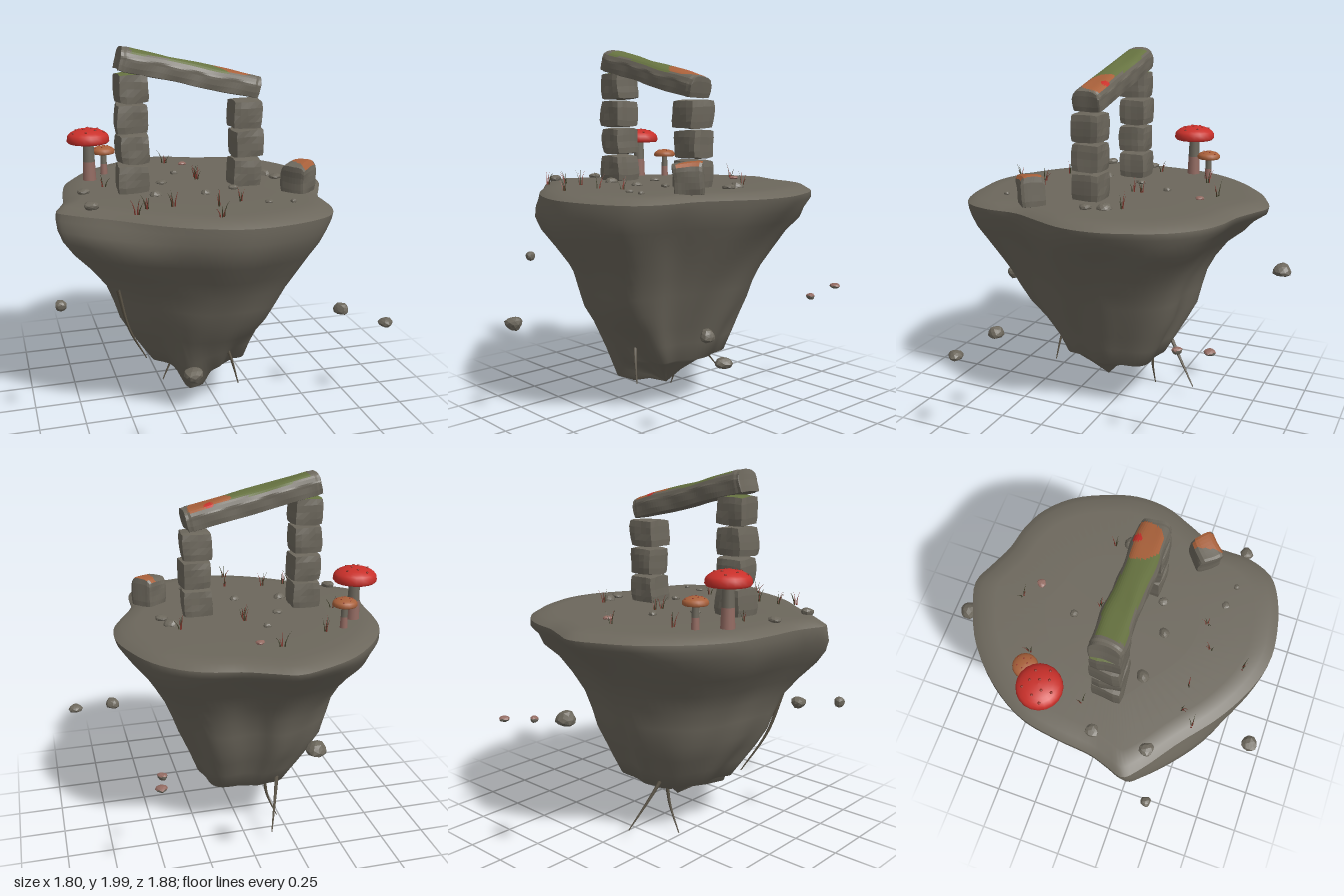
import * as THREE from 'three';

const mat = (name, color, side = THREE.FrontSide) => {
  const m = new THREE.MeshStandardMaterial({ color, side });
  m.name = name;
  return m;
};

// Small seeded random generator
const seeded = (s) => () => {
  s = (s * 16807) % 2147483647;
  return s / 2147483647;
};

const wave = (x, y, z, s) =>
  Math.sin(x * 31 + s) * Math.cos(y * 27 + s * 2.3) + Math.sin(z * 33 + x * 14 + s * 1.7);

const bump = (a, centre, width) => Math.exp(-(((a - centre) / width) ** 2));
const ramp = (v) => THREE.MathUtils.clamp(v, 0, 1);

// Rim of the island as x, z points seen from above
const RIM = [[-.12, -.81], [0, -.765], [.13, -.71], [.27, -.68], [.4, -.62], [.53, -.49], [.62, -.3], [.66, -.15],
  [.65, .03], [.58, .2], [.51, .36], [.5, .55], [.44, .69], [.33, .76], [.15, .81], [-.02, .82],
  [-.2, .77], [-.4, .66], [-.6, .5], [-.79, .36], [-.855, .29], [-.83, .2], [-.8, .1], [-.78, -.1], [-.74, -.3],
  [-.63, -.49], [-.45, -.67], [-.28, -.76]];

// Skin horizontal sections: [y, xMin, xMax, zMin, zMax]
function islandSkin(sections) {
  const n = 96;
  const curve = new THREE.CatmullRomCurve3(RIM.map(([x, z]) => new THREE.Vector3(x, 0, z)), true);
  const rim = curve.getPoints(n).slice(0, n);
  const pos = [], idx = [];
  sections.forEach(([y, x0, x1, z0, z1], r) => {
    rim.forEach((p) => {
      const u = (p.x + .095) / .755, v = (p.z - .005) / .815;
      const a = Math.atan2(v, u);
      const deep = ramp((1.15 - y) / .8), below = ramp((1.21 - y) / .15);
      // broad shoulders on the diagonals, valleys between the hanging lobes, fine ridges growing with depth
      const shoulder = below * (.09 * bump(a, -.8, .4) + .05 * bump(a, -2.3, .4) + .09 * bump(a, 2.4, .35) * ramp((y - .7) / .25));
      const valley = .2 * bump(a, 1.1, .3) * ramp((.62 - y) / .3) + .08 * bump(a, -1.5, .22) * deep;
      const ridge = 1 + shoulder - valley + deep * .03 * Math.sin(9 * a + y * 7);
      const low = ramp((.5 - y) / .2) * (y > .25 ? 1 : .4);
      const drop = y > .13 ? low * .13 * bump(a, 2, .33) : 0;
      pos.push((x0 + x1) / 2 + u * ridge * (x1 - x0) / 2, y - drop, (z0 + z1) / 2 + v * ridge * (z1 - z0) / 2);
    });
    if (r === 0) return;
    for (let j = 0; j < n; j++) {
      const a = (r - 1) * n + j, b = (r - 1) * n + (j + 1) % n;
      idx.push(a, b, a + n, b, b + n, a + n);
    }
  });
  const g = new THREE.BufferGeometry();
  g.setAttribute('position', new THREE.Float32BufferAttribute(pos, 3));
  g.setIndex(idx);
  g.computeVertexNormals();
  return g;
}

// Box with worn edges, faceted
function wornBox(w, h, d, seed, segs = [4, 4, 4], crown = 0) {
  const g = new THREE.BoxGeometry(w, h, d, ...segs);
  const p = g.attributes.position;
  for (let i = 0; i < p.count; i++) {
    const x = p.getX(i), y = p.getY(i), z = p.getZ(i);
    const n = [x / w * 2, y / h * 2, z / d * 2];
    const edges = n.filter((c) => Math.abs(c) > .95).length;
    const k = edges > 2 ? .9 : edges > 1 ? .95 : 1;
    const e = .004 * wave(x, y, z, seed);
    const wear = Math.min(w, h, d) * (1 - k) / 2;
    p.setXYZ(i, x - Math.sign(n[0]) * wear + e,
      y - Math.sign(n[1]) * wear + e * .6 - (n[1] > 0 ? crown * n[1] * n[2] ** 4 : 0),
      z - Math.sign(n[2]) * wear - e);
  }
  const f = g.toNonIndexed();
  f.computeVertexNormals();
  return f;
}

// Choose a material index for each triangle from its centre and normal
function paint(g, pick) {
  g.clearGroups();
  const p = g.attributes.position, t = new THREE.Triangle();
  const c = new THREE.Vector3(), n = new THREE.Vector3();
  let start = 0, last = -1;
  for (let i = 0; i < p.count; i += 3) {
    t.setFromAttributeAndIndices(p, i, i + 1, i + 2);
    t.getMidpoint(c);
    t.getNormal(n);
    const m = pick(c, n);
    if (m !== last && i > 0) { g.addGroup(start, i - start, last); start = i; }
    last = m;
  }
  g.addGroup(start, p.count - start, last);
  return g;
}

// Irregular faceted pebble
function rockGeometry(r, flat, seed) {
  const g = new THREE.IcosahedronGeometry(r, 1);
  const p = g.attributes.position;
  for (let i = 0; i < p.count; i++) {
    const x = p.getX(i) / r, y = p.getY(i) / r, z = p.getZ(i) / r;
    const k = 1 + .14 * Math.sin(x * 3 + seed) * Math.cos(z * 2.5 + seed * 2) + .08 * Math.sin(y * 4 + seed);
    p.setXYZ(i, x * r * k, y * r * k * flat, z * r * k);
  }
  g.computeVertexNormals();
  return g;
}

export function createModel() {
  const root = new THREE.Group();
  root.name = 'floatingIsland';
  const stone = mat('stone', 0x6c675c), moss = mat('moss', 0x667240), orange = mat('rust orange', 0xa8603a);
  const red = mat('cap red', 0xc9302a), spot = mat('dark spots', 0x8e2b21), blush = mat('blush', 0x936b62);
  const grass = mat('dry grass', 0x40402a, THREE.DoubleSide), redGrass = mat('red grass', 0x84392f, THREE.DoubleSide);
  const rootMat = mat('root', 0x5a5346);

  const add = (name, g, m, x = 0, y = 0, z = 0, parent = root) => {
    const o = new THREE.Mesh(g, m);
    o.name = name;
    o.position.set(x, y, z);
    parent.add(o);
    return o;
  };

  // Island: ground that dips towards a crisp rim, and tapering rock below
  const level = (y, s) => [y, -.095 - .755 * s, -.095 + .755 * s, .005 - .815 * s, .005 + .815 * s];
  add('ground', islandSkin([level(1.25, 0), level(1.25, .5), level(1.25, .84), level(1.243, .94), level(1.215, 1)]), stone);
  add('islandRock', islandSkin([
    level(1.215, 1), [1.18, -.85, .65, -.8, .82], [1.13, -.84, .62, -.73, .815], [1.07, -.81, .58, -.68, .8],
    [1, -.76, .525, -.6, .76], [.9, -.675, .465, -.53, .69], [.8, -.61, .405, -.475, .63], [.7, -.58, .36, -.445, .59],
    [.6, -.55, .32, -.42, .55], [.5, -.49, .275, -.37, .49], [.4, -.42, .235, -.32, .42], [.3, -.35, .2, -.27, .36],
    [.275, -.22, .14, -.13, .28], [.2, -.13, .05, 0, .18], [.12, -.03, -.03, .08, .08]]), stone);

  // Two pillars of stacked blocks
  [['leftPillar', .19, 3], ['rightPillar', -.43, 4]].forEach(([name, x, count], k) => {
    const pillar = new THREE.Group();
    pillar.name = name;
    root.add(pillar);
    for (let i = 0; i < count; i++) {
      const g = wornBox(.16, .15, .16, i * 2 + k * 5 + 1);
      paint(g, (c, n) => (i === 3 && n.y > .7 ? 1 : 0));
      const b = add('pillarBlock', g, [stone, moss], x + (i % 2 ? .004 : -.003), 1.32 + i * .157, .08, pillar);
      b.rotation.set(0, (i % 2 ? .04 : -.03), i % 2 ? .015 : -.01);
    }
  });

  // Sloping lintel with a mossy top and a rusty patch
  const lintel = wornBox(.76, .118, .162, 4, [48, 4, 16], .035);
  paint(lintel, (c, n) => {
    if (n.y < .72) return 0;
    if (Math.hypot(c.x - .24, c.z + .058) < .024) return 3;
    if (Math.hypot(c.x - .235, c.z + .045) < .118) return 2;
    return c.x > -.33 && c.x < .25 ? 1 : 0;
  });
  add('lintel', lintel, [stone, moss, orange, red], -.122, 1.857, .08).rotation.z = -.226;

  // Boulder by the pillar
  const boulder = wornBox(.15, .165, .14, 7, [8, 5, 8], .02);
  paint(boulder, (c, n) => (n.y > .6 && c.x * .85 + c.z * .5 > -.015 ? 1 : 0));
  add('boulder', boulder, [stone, orange], .41, 1.322, .32).rotation.set(.05, .72, .03);

  // Mushrooms: [name, x, z, cap radius, rim height, cap height, cap material, spot count]
  [['largeMushroom', -.615, -.22, .117, 1.482, .057, red, 10], ['smallMushroom', -.515, -.345, .066, 1.382, .031, orange, 8]]
    .forEach(([name, x, z, r, rimY, h, capMat, spots], k) => {
      const m = new THREE.Group();
      m.name = name;
      m.position.set(x, 0, z);
      root.add(m);
      const mid = 1.25 + (rimY - 1.25) * .45;
      const s = r * .28;
      const v = (a, b) => new THREE.Vector2(a, b);
      add('stemBase', new THREE.LatheGeometry([v(s * 1.15, 1.235), v(s * 1.1, 1.27), v(s, mid)], 14), blush, 0, 0, 0, m);
      add('stem', new THREE.LatheGeometry([v(s, mid), v(s * .85, rimY + .01)], 14), stone, 0, 0, 0, m);
      add('gills', new THREE.LatheGeometry([v(0, rimY + h * .1), v(r * .5, rimY), v(r * .92, rimY - h * .4)].reverse(), 20)
        .scale(1, 1, 1), blush, 0, 0, 0, m).material = k ? orange : blush;
      const dome = [v(r * .92, rimY - h * .4), v(r, rimY - h * .2)];
      for (let i = 1; i <= 7; i++) {
        const a = i / 7 * Math.PI / 2;
        dome.push(v(r * Math.cos(a), rimY + h * Math.sin(a)));
      }
      add('cap', new THREE.LatheGeometry(dome, 20), capMat, 0, 0, 0, m);
      for (let i = 0; i < spots; i++) {
        const a = i * 2.4 + k, q = .8 * Math.sqrt((i + .5) / spots);
        const w = add('capSpot', new THREE.SphereGeometry(r * .065, 8, 6), spot,
          r * q * Math.cos(a), rimY + h * Math.sqrt(1 - q * q), r * q * Math.sin(a), m);
        w.scale.y = .6;
      }
    });

  // Floating rocks: x, y, z, radius, flatness; the two small ones are blushed on top
  [[-.32, .55, .89, .046, .8], [.86, .53, .53, .037, .8], [.645, .59, .42, .04, .8], [.505, .61, -.54, .026, .7],
    [.54, .65, -.72, .027, .7], [-.18, .86, -.89, .05, .75], [-.87, .78, .43, .031, .85]].forEach(([x, y, z, r, flat], i) => {
    const g = paint(rockGeometry(r, flat, i * 1.9), (c, n) => (r < .03 && n.y > .15 ? 1 : 0));
    add('floatingRock', g, [stone, blush], x, y, z);
  });

  // Pebbles on the ground: x, z, radius
  [[-.69, .07, .034], [-.335, .22, .034], [-.69, .36, .038], [-.25, -.03, .027], [-.13, -.235, .024], [-.025, -.46, .023],
    [.36, -.08, .04], [.39, .015, .034], [-.075, .25, .028], [.09, .19, .026], [.18, .51, .02], [.3, .535, .017]]
    .forEach(([x, z, r], i) => add('pebble', rockGeometry(r, .6, i * 2.7), i === 5 ? blush : stone, x, 1.255, z));

  // Tufts of thin grass blades
  const rnd = seeded(77);
  [[-.12, -.53], [-.4, -.38], [-.57, -.03], [-.04, -.12], [.32, -.16], [-.5, .54], [-.43, .46], [-.3, .46],
    [-.08, .51], [.05, .45], [-.12, .69], [-.04, -.07]].forEach(([x, z], i) => {
    const tuft = new THREE.Group();
    tuft.name = 'grassTuft';
    tuft.position.set(x, 1.245, z);
    root.add(tuft);
    for (let b = 0; b < 4; b++) {
      const h = .05 + rnd() * .045, a = rnd() * 6.28, lean = .012 + rnd() * .025;
      const dx = Math.cos(a) * lean, dz = Math.sin(a) * lean;
      const g = new THREE.ConeGeometry(.004, h, 4, 3).translate(0, h / 2, 0);
      const p = g.attributes.position;
      for (let j = 0; j < p.count; j++) {
        const t = (p.getY(j) / h) ** 2;
        p.setX(j, p.getX(j) + dx * t);
        p.setZ(j, p.getZ(j) + dz * t);
      }
      g.computeVertexNormals();
      add('blade', g, (i + b) % 2 ? grass : redGrass, dx * .3, 0, dz * .3, tuft);
    }
  });

  // Hanging roots, thick at the rock and thin at the tip
  [[[-.15, .32, -.15], [-.17, .17, -.145], [-.235, .01, -.14]], [[-.2, .36, -.24], [-.17, .25, -.31], [-.12, .09, -.42]],
    [[0, .45, .33], [.035, .34, .36], [.07, .2, .38]], [[-.57, .8, .34], [-.51, .56, .29], [-.4, .33, .2]]].forEach((pts) => {
    const curve = new THREE.CatmullRomCurve3(pts.map((q) => new THREE.Vector3(...q)));
    const g = new THREE.TubeGeometry(curve, 12, .012, 6);
    const p = g.attributes.position, c = new THREE.Vector3(), q = new THREE.Vector3();
    for (let i = 0; i < p.count; i++) {
      const t = Math.floor(i / 7) / 12;
      curve.getPointAt(t, c);
      q.fromBufferAttribute(p, i).sub(c).multiplyScalar(1 - .75 * t).add(c);
      p.setXYZ(i, q.x, q.y, q.z);
    }
    g.computeVertexNormals();
    add('hangingRoot', g, rootMat);
  });

  return root;
}
